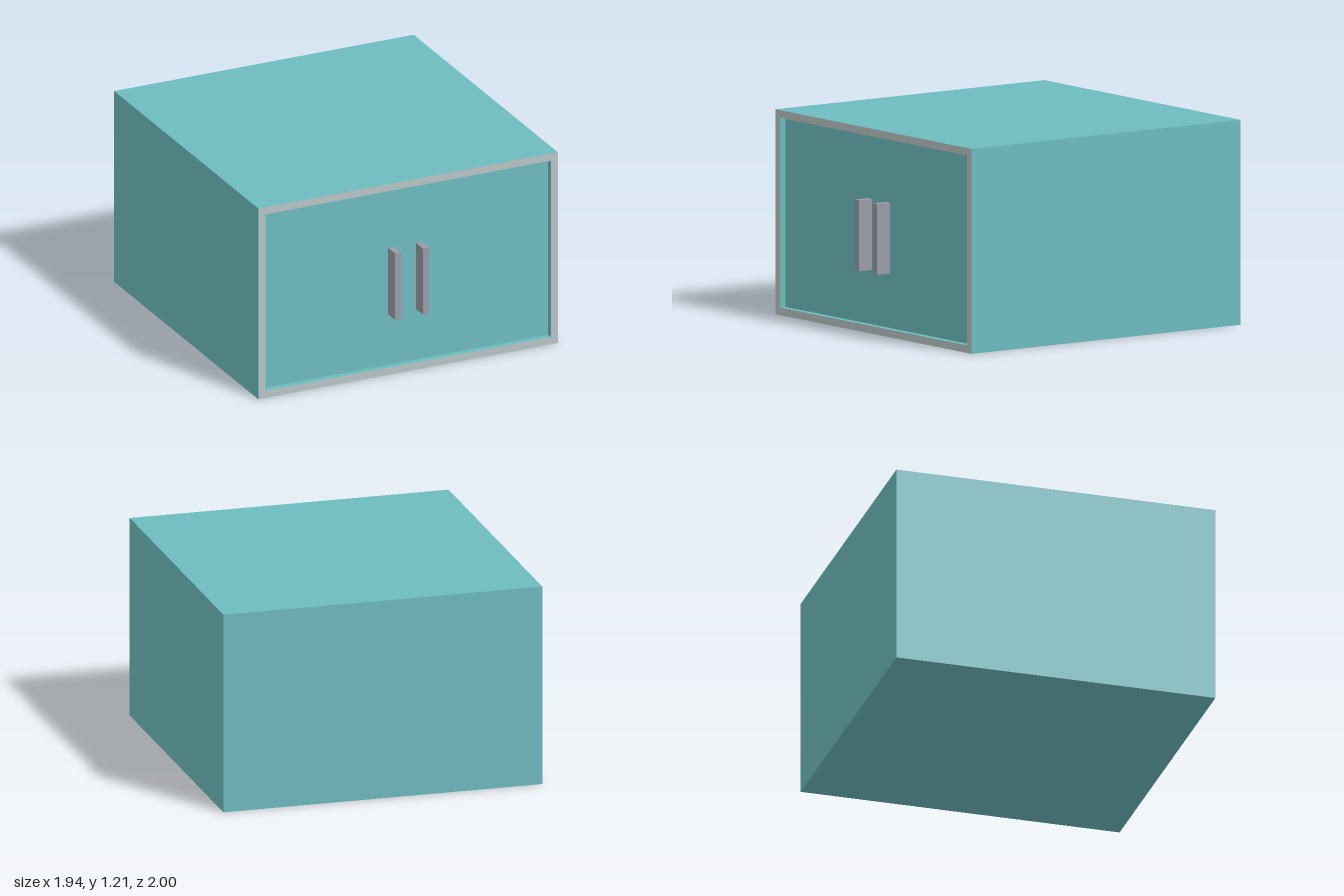
import * as THREE from 'three';

const W = 1.94, H = 1.21, BACK = -1, FRONT = 0.945;
const RIM = 0.045, RECESS = 0.04;

function material(name, color) {
  const m = new THREE.MeshStandardMaterial({ color });
  m.name = name;
  return m;
}

function box(name, mat, [w, h, d], [x, y, z]) {
  const mesh = new THREE.Mesh(new THREE.BoxGeometry(w, h, d), mat);
  mesh.name = name;
  mesh.position.set(x, y, z);
  return mesh;
}

// Corner points of a rectangle centred on x = 0
function rectangle(halfWidth, bottom, top) {
  return [[-halfWidth, bottom], [halfWidth, bottom], [halfWidth, top], [-halfWidth, top]]
    .map(([x, y]) => new THREE.Vector2(x, y));
}

export function createModel() {
  const teal = material('teal paint', 0x6dbbbf);
  const edging = material('pale grey edging', 0xbac5c5);
  const metal = material('grey handle', 0x9a9ba7);

  const cabinet = new THREE.Group();
  cabinet.name = 'cabinet';

  // Carcass: its front face is the recessed door panel
  const doorZ = FRONT - RECESS;
  cabinet.add(box('carcass', teal, [W, H, doorZ - BACK], [0, H / 2, (doorZ + BACK) / 2]));

  // Front surround: grey front edge, teal sides inside and out
  const outline = new THREE.Shape(rectangle(W / 2, 0, H));
  outline.holes.push(new THREE.Path(rectangle(W / 2 - RIM, RIM, H - RIM).reverse()));
  const surround = new THREE.Mesh(
    new THREE.ExtrudeGeometry(outline, { depth: RECESS, bevelEnabled: false }),
    [edging, teal]
  );
  surround.name = 'frontSurround';
  surround.position.z = doorZ;
  cabinet.add(surround);

  // Pair of upright bar handles
  for (const side of [-1, 1]) {
    cabinet.add(box(side > 0 ? 'leftHandle' : 'rightHandle', metal,
      [0.04, 0.42, 1 - doorZ], [side * 0.09, 0.576, (1 + doorZ) / 2]));
  }
  return cabinet;
}
